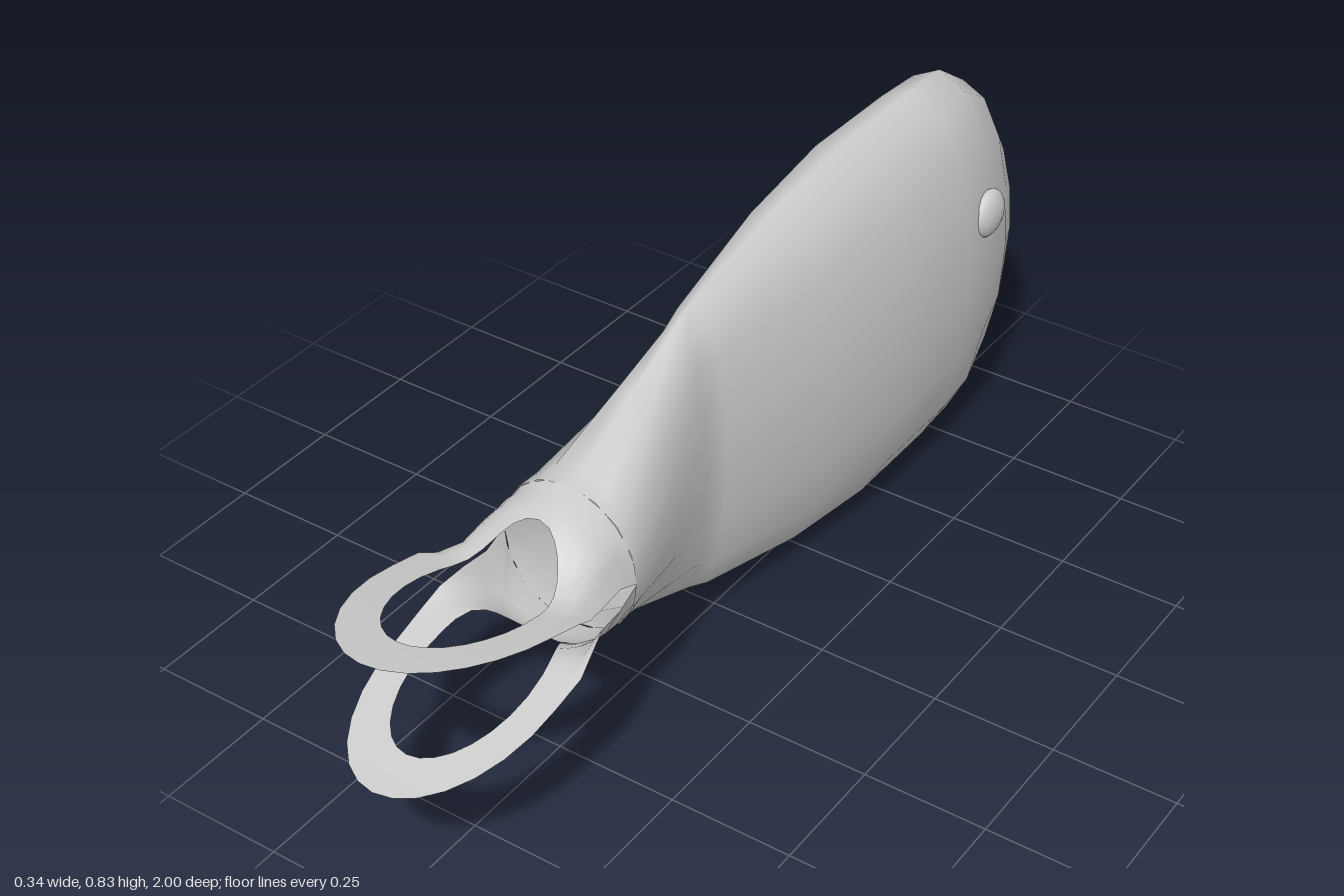
import * as THREE from 'three';

const MID = 0.415; // height of the horizontal mirror plane
const skin = new THREE.MeshStandardMaterial({ color: 0xcccccc, side: THREE.DoubleSide });

// Smooth surface through closed rows of points
function loft(rows, flip = false) {
  const n = rows[0].length, index = [];
  for (let i = 0; i < rows.length - 1; i++) {
    for (let j = 0; j < n; j++) {
      const a = i * n + j, b = i * n + (j + 1) % n, c = a + n, d = b + n;
      if (flip) index.push(a, c, b, b, c, d);
      else index.push(a, b, c, b, d, c);
    }
  }
  const g = new THREE.BufferGeometry();
  g.setAttribute('position', new THREE.Float32BufferAttribute(rows.flat(2), 3));
  g.setIndex(index);
  g.computeVertexNormals();
  return g;
}

// Body: elliptical sections [z, half height, half width]
function bodyGeometry() {
  const sections = [
    [-1, 0.002, 0.001], [-0.995, 0.1, 0.035], [-0.985, 0.165, 0.065], [-0.95, 0.25, 0.098],
    [-0.89, 0.343, 0.122], [-0.79, 0.41, 0.145], [-0.68, 0.412, 0.159], [-0.44, 0.413, 0.16],
    [-0.2, 0.385, 0.133], [0.07, 0.325, 0.077], [0.12, 0.302, 0.068], [0.25, 0.238, 0.097],
    [0.41, 0.16, 0.136], [0.45, 0.152, 0.145],
  ];
  return loft(sections.map(([z, h, w]) => {
    const row = [];
    for (let j = 0; j < 16; j++) {
      const a = j / 16 * Math.PI * 2;
      const c = Math.cos(a), s = Math.sin(a);
      row.push([w * Math.sign(c) * Math.abs(c) ** 0.92, MID + h * s, z]);
    }
    return row;
  }));
}

// Height of a fluke over the mirror plane: an arch that flattens into a rising ring
function flukeHeight(x, z) {
  const w = 0.145 + Math.max(0, z - 0.45) * 0.08;
  const arch = (0.152 - Math.max(0, z - 0.45) * 0.27) * Math.sqrt(Math.max(0, 1 - (x / w) ** 2));
  const u = z - 0.6;
  const ring = 0.045 + 0.3 * u - 0.16 * u * u;
  const t = THREE.MathUtils.smoothstep(z, 0.52, 0.65);
  return Math.max(arch * (1 - t) + ring * t, z > 0.46 ? 0.012 : 0);
}

// Fluke: band from the body's mouth and ring rim inward to the oval hole
function flukeGeometry(side) {
  const flank = [[0.17, 0.72], [0.172, 0.65], [0.165, 0.61], [0.152, 0.56], [0.147, 0.5]];
  const outer = flank.slice();
  for (let j = 0; j <= 12; j++) outer.push([0.145 * Math.cos(j / 12 * Math.PI), 0.45]);
  flank.slice().reverse().forEach(([x, z]) => outer.push([-x, z]));
  for (let j = 1; j < 14; j++) {
    const a = j / 14 * Math.PI;
    outer.push([-0.17 * Math.cos(a), 0.72 + 0.28 * Math.sin(a)]);
  }
  const rows = [];
  for (let i = 0; i <= 4; i++) {
    rows.push(outer.map(([x, z]) => {
      const a = Math.atan2((z - 0.72) / 0.27, x / 0.17);
      const px = THREE.MathUtils.lerp(x, 0.11 * Math.cos(a), i / 4);
      const pz = THREE.MathUtils.lerp(z, 0.72 + 0.19 * Math.sin(a), i / 4);
      return [px, MID + side * flukeHeight(px, pz), pz];
    }));
  }
  return loft(rows, side < 0);
}

export function createModel() {
  const model = new THREE.Group();
  const add = (name, geometry) => {
    const mesh = new THREE.Mesh(geometry, skin);
    mesh.name = name;
    model.add(mesh);
    return mesh;
  };

  add('body', bodyGeometry());
  add('upperTailRing', flukeGeometry(1));
  add('lowerTailRing', flukeGeometry(-1));

  // Eyes: flattened beads on both flanks
  for (const s of [1, -1]) {
    const eye = add(s > 0 ? 'leftEye' : 'rightEye', new THREE.SphereGeometry(0.051, 20, 14));
    eye.scale.x = 0.5;
    eye.position.set(s * 0.139, 0.553, -0.77);
  }
  return model;
}
